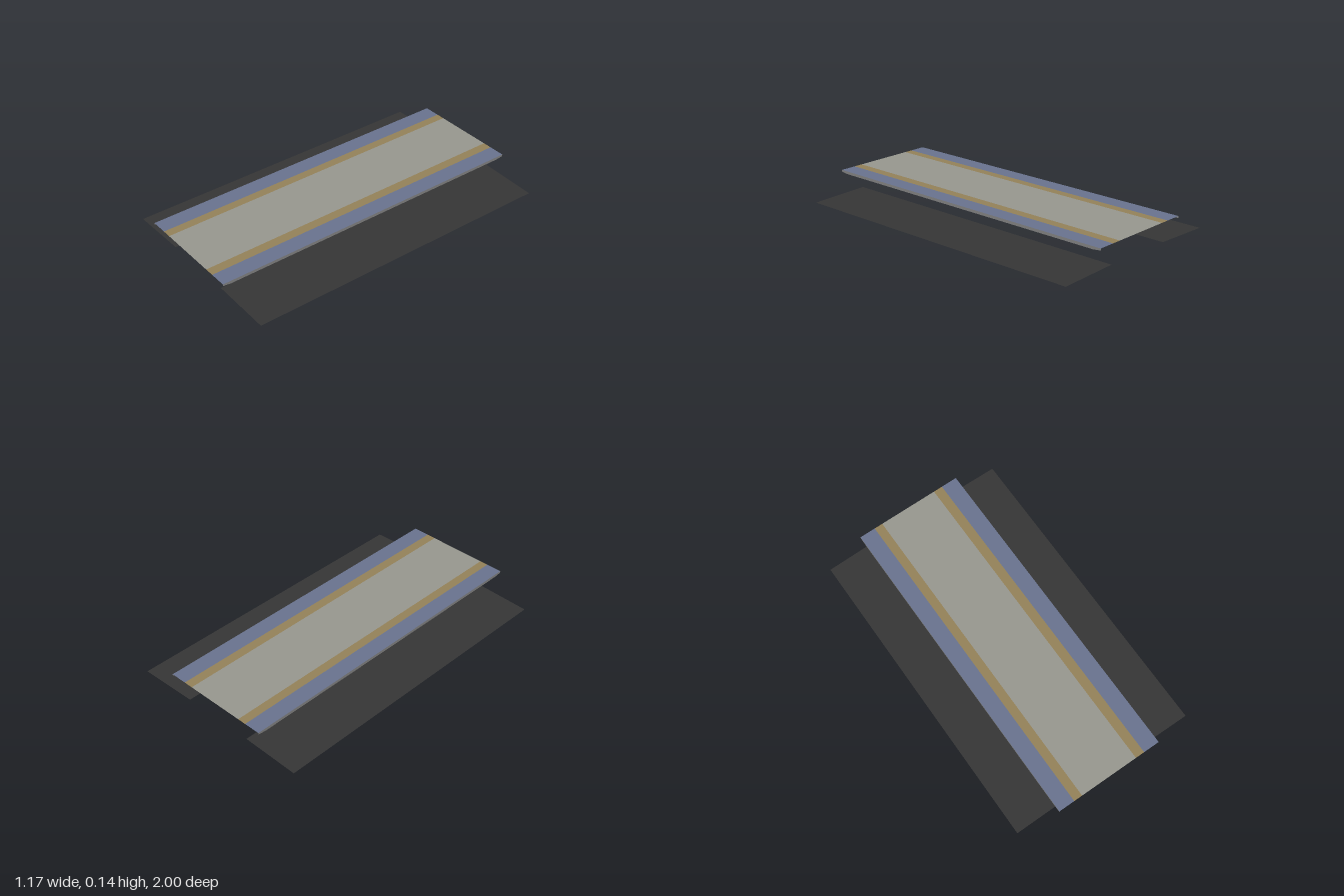
import * as THREE from 'three';

const mat = (name, color) => {
  const m = new THREE.MeshStandardMaterial({ color, side: THREE.DoubleSide });
  m.name = name;
  return m;
};

// Flat four-cornered sheet, corners counter-clockwise as seen from its front
function sheet(name, material, corners) {
  const g = new THREE.BufferGeometry();
  g.setAttribute('position', new THREE.Float32BufferAttribute(corners.flat(), 3));
  g.setIndex([0, 1, 2, 0, 2, 3]);
  g.computeVertexNormals();
  const mesh = new THREE.Mesh(g, material);
  mesh.name = name;
  return mesh;
}

// Upward-facing strip running lengthwise between two edges
const strip = (name, material, x0, y0, x1, y1, back, front) =>
  sheet(name, material, [[x0, y0, front], [x1, y1, front], [x1, y1, back], [x0, y0, back]]);

export function createModel() {
  const group = new THREE.Group();
  const blue = mat('slate blue', 0x68728e);
  const tan = mat('tan', 0x938158);
  const grey = mat('warm grey', 0x96968e);
  const dark = mat('charcoal', 0x353535);
  const trim = mat('edge grey', 0x808080);
  const top = 0.135;

  // Raised deck made of five lengthwise bands
  const deck = new THREE.Group();
  deck.name = 'deck';
  const bands = [
    ['outerBandRight', blue, -0.35, -0.25],
    ['stripeRight', tan, -0.25, -0.197],
    ['centrePanel', grey, -0.197, 0.172],
    ['stripeLeft', tan, 0.172, 0.229],
    ['outerBandLeft', blue, 0.229, 0.33],
  ];
  for (const [name, m, x0, x1] of bands) deck.add(strip(name, m, x0, top, x1, top, -1, 1));

  // Shallow lips hanging from the deck's long edges, with tapered ends
  for (const [name, x, s] of [['lipRight', -0.35, -1], ['lipLeft', 0.33, 1]]) {
    const shape = new THREE.Shape([[-1, top], [1, top], [1, 0.124], [0.95, 0.118], [-0.95, 0.118], [-1, 0.124]]
      .map(([a, b]) => new THREE.Vector2(a, b)));
    const lip = new THREE.Mesh(new THREE.ShapeGeometry(shape), trim);
    lip.name = name;
    lip.rotation.y = s * Math.PI / 2;
    lip.position.x = x;
    deck.add(lip);
  }
  group.add(deck);

  // Ground strips, sloping gently down to the outside
  group.add(strip('groundStripRight', dark, -0.59, 0, -0.235, 0.011, -0.985, 0.945));
  group.add(strip('groundStripLeft', dark, 0.217, 0.011, 0.585, 0, -0.985, 0.945));
  return group;
}
